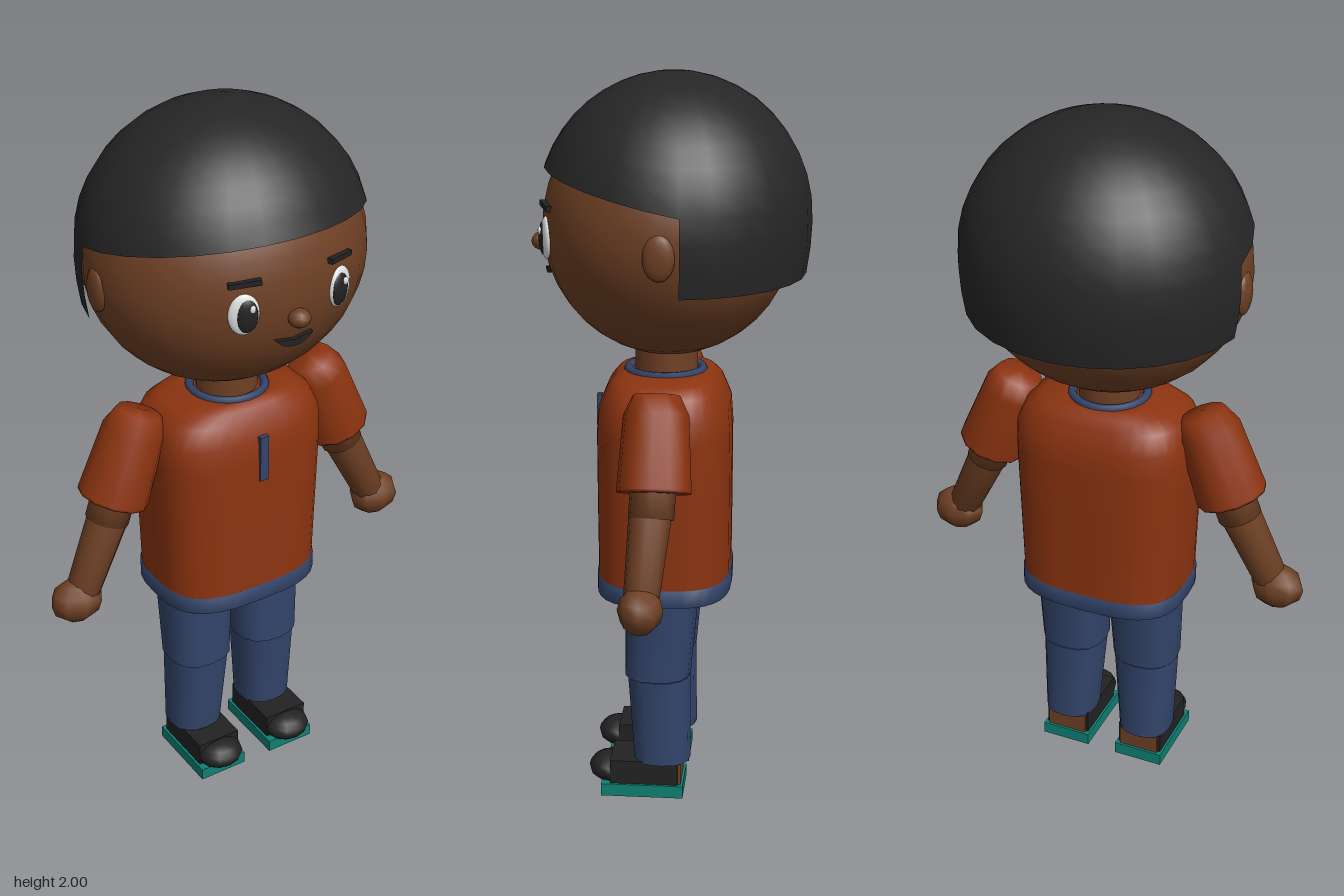
import * as THREE from 'three';

const mat = (name, color, side = THREE.FrontSide) => {
  const m = new THREE.MeshStandardMaterial({ color, side });
  m.name = name;
  return m;
};

// Loft of rounded cross-sections [y, halfX, halfZ, centreX, centreZ], bottom to top
function loft(rings, n, power = 2, capBottom = false, capTop = false) {
  const pos = [], idx = [];
  const round = v => Math.sign(v) * Math.abs(v) ** (2 / power);
  const addRing = ([y, hx, hz, cx = 0, cz = 0]) => {
    const start = pos.length / 3;
    for (let i = 0; i < n; i++) {
      const a = (i / n) * Math.PI * 2;
      pos.push(cx + hx * round(Math.sin(a)), y, cz + hz * round(Math.cos(a)));
    }
    return start;
  };
  rings.forEach((r, j) => {
    const b = addRing(r), a = b - n;
    if (j === 0) return;
    for (let i = 0; i < n; i++) {
      const k = (i + 1) % n;
      idx.push(a + i, a + k, b + k, a + i, b + k, b + i);
    }
  });
  const cap = (r, up) => {
    const s = addRing(r);
    for (let i = 1; i < n - 1; i++) idx.push(s, s + (up ? i : i + 1), s + (up ? i + 1 : i));
  };
  if (capBottom) cap(rings[0], false);
  if (capTop) cap(rings[rings.length - 1], true);
  const g = new THREE.BufferGeometry();
  g.setAttribute('position', new THREE.Float32BufferAttribute(pos, 3));
  g.setIndex(idx);
  g.computeVertexNormals();
  return g;
}

// Bowl-cut shell: sloped fringe in front, longer skirt behind the ears
function hairGeometry() {
  const cy = 1.62, rx = 0.392, ry = 0.38, rz = 0.368, cz = -0.01;
  const split = 1.693, front = 14, back = 12, n = front + back, capRows = 9, rows = 12;
  const pos = [], idx = [];
  const radius = y => Math.sqrt(Math.max(0, 1 - ((y - cy) / (y > cy ? ry : 0.55)) ** 2));
  for (let j = 0; j <= rows; j++) {
    for (let i = 0; i < n; i++) {
      const a = i <= front
        ? -split + (2 * split * i) / front
        : split + ((2 * Math.PI - 2 * split) * (i - front)) / back;
      let edge = 1.7;
      for (let k = 0; k < 8; k++) {
        const z = cz + rz * radius(edge) * Math.cos(a);
        edge = 1.675 + Math.max(0, z + 0.055) * 0.21;
      }
      const theta = Math.acos((edge - cy) / ry) * Math.min(1, j / capRows);
      let y = cy + ry * Math.cos(theta);
      if (j > capRows) y = edge + ((1.47 - edge) * (j - capRows)) / (rows - capRows);
      const r = j === 0 ? 0 : radius(y);
      pos.push(rx * r * Math.sin(a), y, cz + rz * r * Math.cos(a));
    }
  }
  for (let j = 0; j < rows; j++) {
    for (let i = j < capRows ? 0 : front; i < n; i++) {
      const k = (i + 1) % n, a = j * n, b = a + n;
      idx.push(a + i, b + i, b + k);
      if (j > 0) idx.push(a + i, b + k, a + k);
    }
  }
  const g = new THREE.BufferGeometry();
  g.setAttribute('position', new THREE.Float32BufferAttribute(pos, 3));
  g.setIndex(idx);
  g.computeVertexNormals();
  return g;
}

export function createModel() {
  const model = new THREE.Group();
  model.name = 'boy';
  const skin = mat('skin', 0x6e4024);
  const hairMat = mat('hair', 0x262626, THREE.DoubleSide);
  const shirt = mat('shirt', 0x8c3410);
  const denim = mat('denim', 0x33456b);
  const black = mat('black', 0x222222);
  const white = mat('white', 0xe0e0e0);
  const teal = mat('sole', 0x0e8073);

  const add = (name, geo, material, x = 0, y = 0, z = 0) => {
    const m = new THREE.Mesh(geo, material);
    m.name = name;
    m.position.set(x, y, z);
    model.add(m);
    return m;
  };
  const ball = (name, material, p, r, w = 16, h = 12) =>
    add(name, new THREE.SphereGeometry(1, w, h).scale(...r), material, ...p);
  // Lathed limb whose local +y runs from point a to point b
  const limb = (name, material, a, b, profile, sides) => {
    const from = new THREE.Vector3(...a), dir = new THREE.Vector3(...b).sub(from);
    const len = dir.length();
    const pts = profile.map(([r, t]) => new THREE.Vector2(r, t * len));
    const m = add(name, new THREE.LatheGeometry(pts, sides), material, ...a);
    m.quaternion.setFromUnitVectors(new THREE.Vector3(0, 1, 0), dir.normalize());
  };

  // Head
  ball('head', skin, [0, 1.6, 0], [0.385, 0.35, 0.34], 28, 20);
  add('hair', hairGeometry(), hairMat);
  ball('nose', skin, [0, 1.545, 0.346], [0.031, 0.025, 0.029], 10, 8);
  add('neck', new THREE.CylinderGeometry(0.085, 0.085, 0.16, 14), skin, 0, 1.22, 0.01);

  // Mouth: thin crescent
  const smile = new THREE.Shape();
  smile.moveTo(-0.055, 1.486);
  smile.quadraticCurveTo(-0.02, 1.482, 0, 1.477);
  smile.quadraticCurveTo(0.02, 1.482, 0.055, 1.486);
  smile.quadraticCurveTo(0.035, 1.46, 0, 1.459);
  smile.quadraticCurveTo(-0.035, 1.46, -0.055, 1.486);
  add('mouth', new THREE.ExtrudeGeometry(smile, { depth: 0.018, bevelEnabled: false }), black, 0, 0, 0.311);

  // Torso
  const cz = 0.012;
  add('shirt', loft([
    [0.63, 0.235, 0.182, 0, cz], [0.85, 0.243, 0.183, 0, cz], [1.04, 0.25, 0.183, 0, cz],
    [1.11, 0.248, 0.178, 0, cz], [1.165, 0.225, 0.155, 0, cz], [1.19, 0.18, 0.135, 0, cz],
    [1.2, 0.12, 0.112, 0, cz]], 32, 3, false, true), shirt);
  add('hem', loft([
    [0.63, 0.222, 0.17, 0, cz], [0.59, 0.226, 0.174, 0, cz], [0.59, 0.239, 0.186, 0, cz],
    [0.638, 0.239, 0.186, 0, cz], [0.64, 0.22, 0.17, 0, cz]], 32, 3), denim);
  add('hips', loft([[0.605, 0.225, 0.173, 0, cz], [0.63, 0.225, 0.173, 0, cz]], 32, 3, true, true), skin);
  add('collar', new THREE.TorusGeometry(0.102, 0.012, 6, 24).rotateX(Math.PI / 2), denim, 0, 1.2, cz);
  add('placket', new THREE.BoxGeometry(0.026, 0.135, 0.014), denim, 0, 1.055, 0.194);

  for (const s of [1, -1]) {
    const side = s > 0 ? 'left' : 'right';

    // Face details
    ball(side + 'Ear', skin, [s * 0.378, 1.575, -0.003], [0.018, 0.06, 0.043], 10, 10);
    const eyeParts = [
      ['Eye', white, 0.143, 1.58, 0.313, [0.041, 0.056, 0.014]],
      ['Pupil', black, 0.139, 1.578, 0.319, [0.031, 0.047, 0.014]]];
    for (const [n, m, x, y, z, r] of eyeParts) ball(side + n, m, [s * x, y, z], r).rotation.y = s * 0.33;
    ball(side + 'Glint', white, [s * 0.14 + 0.01, 1.6, 0.332 - s * 0.003], [0.009, 0.011, 0.005], 8, 6);
    const brow = add(side + 'Eyebrow', new THREE.BoxGeometry(0.084, 0.014, 0.02), black, s * 0.14, 1.663, 0.311);
    brow.rotation.set(0, s * 0.35, -s * 0.06);

    // Arm: sleeve, upper arm, forearm, hand
    limb(side + 'Sleeve', shirt, [s * 0.362, 0.957, 0.012], [s * 0.272, 1.195, 0.012],
      [[0, 0], [0.097, 0], [0.098, 0.03], [0.086, 0.8], [0.062, 1], [0, 1.02]], 12);
    limb(side + 'Elbow', skin, [s * 0.385, 0.895, 0.017], [s * 0.35, 0.99, 0.013],
      [[0, 0], [0.06, 0], [0.06, 1]], 12);
    limb(side + 'Forearm', skin, [s * 0.475, 0.71, 0.034], [s * 0.375, 0.92, 0.018],
      [[0, 0], [0.047, 0], [0.057, 1]], 12);
    ball(side + 'Hand', skin, [s * 0.496, 0.685, 0.035], [0.076, 0.063, 0.06], 8, 6);

    // Trouser leg, split at the knee
    add(side + 'Thigh', loft([
      [0.355, 0.094, 0.092, s * 0.113, 0.025], [0.62, 0.106, 0.103, s * 0.111, 0.012]],
      16, 2.4, true), denim);
    add(side + 'Shin', loft([
      [0.1, 0.076, 0.08, s * 0.12, 0.012], [0.352, 0.09, 0.088, s * 0.113, 0.022]],
      16, 2.4, true, true), denim);

    // Shoe
    const fx = s * 0.117;
    add(side + 'Sole', new THREE.BoxGeometry(0.146, 0.036, 0.23), teal, fx, 0.018, 0.065);
    add(side + 'Shoe', new THREE.BoxGeometry(0.132, 0.07, 0.19), black, fx, 0.07, 0.06);
    add(side + 'Heel', new THREE.BoxGeometry(0.118, 0.064, 0.012), skin, fx, 0.068, -0.037);
    ball(side + 'Toe', black, [fx, 0.062, 0.16], [0.068, 0.04, 0.06], 12, 8);
  }
  return model;
}
